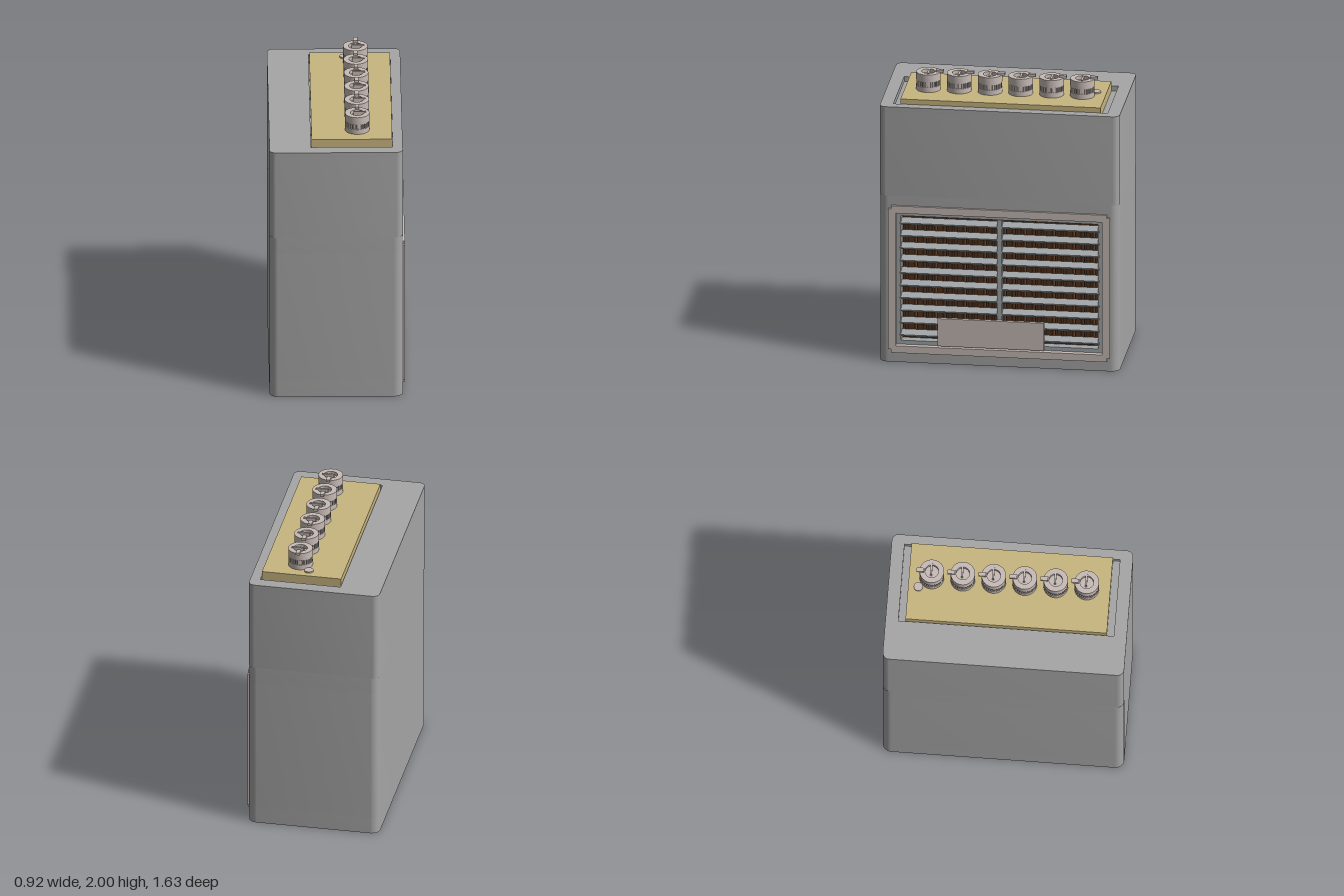
import * as THREE from 'three';
import { toCreasedNormals, mergeGeometries } from 'three/addons/utils/BufferGeometryUtils.js';

const mat = (name, color) => {
  const m = new THREE.MeshStandardMaterial({ color });
  m.name = name;
  return m;
};

// Box geometry from its min and max corners
function span(x0, x1, y0, y1, z0, z1) {
  return new THREE.BoxGeometry(x1 - x0, y1 - y0, z1 - z0)
    .translate((x0 + x1) / 2, (y0 + y1) / 2, (z0 + z1) / 2);
}

// Rounded plan of the cabinet, optionally notched on the +x side
function plan(r, notch) {
  const x0 = -0.46, x1 = 0.44, h = 0.8175, q = Math.PI / 2;
  const s = new THREE.Shape();
  s.absarc(x1 - r, -h + r, r, -q, 0, false);
  if (notch) {
    s.lineTo(x1, -notch.half);
    s.lineTo(notch.x, -notch.half);
    s.lineTo(notch.x, notch.half);
    s.lineTo(x1, notch.half);
  }
  s.absarc(x1 - r, h - r, r, 0, q, false);
  s.absarc(x0 + r, h - r, r, q, 2 * q, false);
  s.absarc(x0 + r, -h + r, r, 2 * q, 3 * q, false);
  s.closePath();
  return s;
}

// Polygonal shape or hole from corner pairs
function poly(points, Type = THREE.Shape) {
  return new Type(points.map(([a, b]) => new THREE.Vector2(a, b)));
}

const rect = (a0, a1, b0, b1) => [[a0, b0], [a1, b0], [a1, b1], [a0, b1]];

// Vertical slab of a plan between two heights
function slab(shape, y0, y1) {
  const g = new THREE.ExtrudeGeometry(shape, { depth: y1 - y0, bevelEnabled: false, curveSegments: 8 });
  g.rotateX(-Math.PI / 2).translate(0, y0, 0);
  return toCreasedNormals(g, 0.5);
}

// Plate lying in the side plane, between two x positions
function sidePlate(shape, x0, x1) {
  return new THREE.ExtrudeGeometry(shape, { depth: x1 - x0, bevelEnabled: false })
    .rotateY(Math.PI / 2).translate(x0, 0, 0);
}

export function createModel() {
  const model = new THREE.Group();
  model.name = 'ventilationCabinet';
  const grey = mat('cabinetGrey', 0xa6a6a6);
  const steel = mat('grilleSteel', 0xa2a6a8);
  const pale = mat('paleMetal', 0xc8bcb6);
  const gold = mat('brass', 0xc8b680);
  const copper = mat('copper', 0x7f5233);

  const add = (parent, name, geometry, material) => {
    const mesh = new THREE.Mesh(geometry, material);
    mesh.name = name;
    parent.add(mesh);
    return mesh;
  };

  // Cabinet: lower shell with a side cavity, upper shell with a recessed top
  const cabinet = new THREE.Group();
  cabinet.name = 'cabinet';
  model.add(cabinet);
  const lower = plan(0.06);
  add(cabinet, 'base', slab(lower, 0, 0.115), grey);
  add(cabinet, 'cavityShell', slab(plan(0.06, { half: 0.705, x: 0.3 }), 0.115, 1.075), grey);
  add(cabinet, 'lowerTop', slab(lower, 1.075, 1.19), grey);
  add(cabinet, 'upperShell', slab(plan(0.045), 1.19, 1.79), grey);
  const rim = plan(0.045);
  rim.holes.push(poly(rect(-0.18, 0.372, -0.73, 0.73), THREE.Path));
  add(cabinet, 'topRim', slab(rim, 1.79, 1.825), grey);

  // Side vent
  const vent = new THREE.Group();
  vent.name = 'vent';
  model.add(vent);

  // Outer frame with notched corners
  const frame = poly([
    [-0.735, 0.07], [0.735, 0.07], [0.735, 0.095], [0.757, 0.095], [0.757, 1.1], [0.735, 1.1],
    [0.735, 1.122], [-0.735, 1.122], [-0.735, 1.1], [-0.757, 1.1], [-0.757, 0.095], [-0.735, 0.095],
  ]);
  frame.holes.push(poly(rect(-0.702, 0.702, 0.12, 1.07), THREE.Path));
  add(vent, 'ventFrame', sidePlate(frame, 0.4, 0.455), pale);

  // Inner surround and centre bar
  const surround = poly(rect(-0.703, 0.703, 0.118, 1.072));
  surround.holes.push(poly(rect(-0.672, 0.672, 0.148, 1.04), THREE.Path));
  add(vent, 'ventSurround', sidePlate(surround, 0.35, 0.415), steel);
  add(vent, 'centreBar', span(0.36, 0.43, 0.14, 1.045, -0.017, 0.017), steel);

  // Tilted louvres
  const louvres = [];
  for (let i = 0; i < 10; i++) {
    louvres.push(new THREE.BoxGeometry(0.068, 0.012, 1.36)
      .rotateZ(-0.3).translate(0.39, 0.195 + i * 0.089, 0));
  }
  add(vent, 'louvres', mergeGeometries(louvres), steel);

  // Copper coil: backing and closely spaced fins
  add(vent, 'coilBacking', span(0.3, 0.33, 0.125, 1.065, -0.69, 0.69), copper);
  const fins = [];
  for (let i = 0; i < 90; i++) {
    const z = -0.675 + (i * 1.35) / 89;
    fins.push(span(0.325, 0.35, 0.14, 1.05, z - 0.004, z + 0.004));
  }
  add(vent, 'coilFins', mergeGeometries(fins), copper);
  add(vent, 'blankPlate', span(0.435, 0.46, 0.133, 0.33, -0.307, 0.417), pale);

  // Brass deck in the top recess
  add(model, 'brassDeck', span(-0.175, 0.37, 1.788, 1.86, -0.682, 0.682), gold);
  add(model, 'deckButton', new THREE.CylinderGeometry(0.031, 0.031, 0.01, 24)
    .translate(0.06, 1.865, -0.613), pale);

  // Knob: turned body, ribbed groove, pointer bar and tab
  const profile = [
    [0.083, 0], [0.083, 0.035], [0.074, 0.035], [0.074, 0.07], [0.083, 0.07],
    [0.083, 0.125], [0.046, 0.125], [0.046, 0.1], [0, 0.1],
  ].map(([r, y]) => new THREE.Vector2(r, y));
  const body = toCreasedNormals(new THREE.LatheGeometry(profile, 32), 0.5);
  const ribs = [];
  for (let i = 0; i < 32; i++) {
    ribs.push(new THREE.BoxGeometry(0.012, 0.036, 0.008)
      .translate(0.076, 0.0525, 0).rotateY((i * Math.PI) / 16));
  }
  const ribRing = mergeGeometries(ribs);
  const pointer = span(-0.025, 0.06, 0.1, 0.132, -0.012, 0.002);
  const tab = span(-0.014, 0.014, 0.122, 0.14, -0.103, -0.052);

  for (let i = 0; i < 6; i++) {
    const knob = new THREE.Group();
    knob.name = 'knob' + (i + 1);
    knob.position.set(0.135, 1.86, -0.527 + i * 0.21);
    add(knob, 'knobBody', body, pale);
    add(knob, 'knobRibs', ribRing, pale);
    add(knob, 'knobPointer', pointer, pale);
    add(knob, 'knobTab', tab, pale);
    model.add(knob);
  }
  return model;
}
